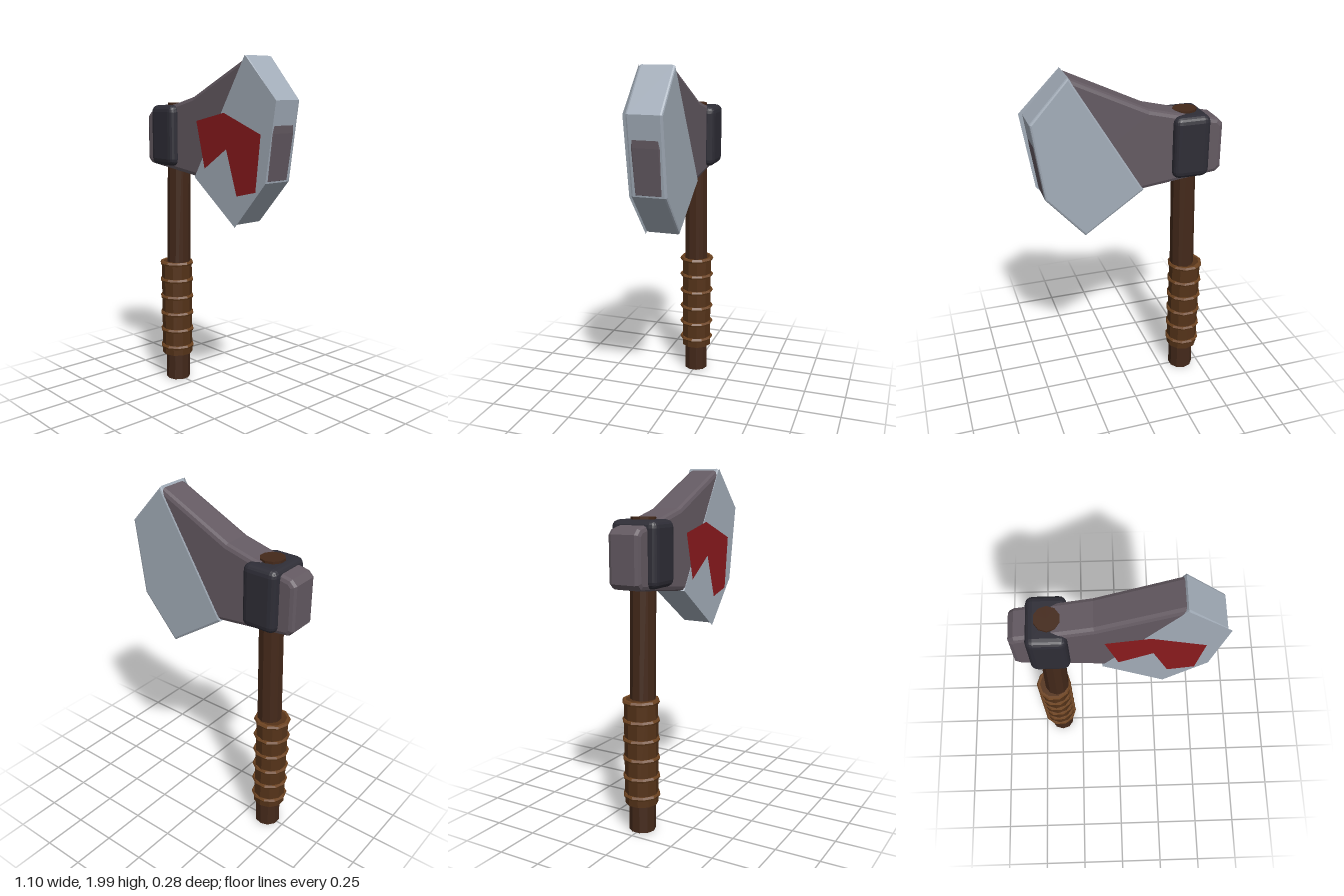
import * as THREE from 'three';
import { RoundedBoxGeometry } from 'three/addons/geometries/RoundedBoxGeometry.js';

const mat = (color, side = THREE.FrontSide) =>
  new THREE.MeshStandardMaterial({ color, flatShading: true, side });

const outline = (points) => new THREE.Shape(points.map(([x, y]) => new THREE.Vector2(x, y)));

// Bevelled slab whose outer contour follows the points, centred on z = 0
function slab(points, halfDepth, bevel, segments) {
  const geometry = new THREE.ExtrudeGeometry(outline(points), {
    depth: 2 * (halfDepth - bevel), bevelEnabled: true, bevelThickness: bevel,
    bevelSize: bevel, bevelOffset: -bevel, bevelSegments: segments,
  });
  return geometry.translate(0, 0, -(halfDepth - bevel));
}

export function createModel() {
  const group = new THREE.Group();
  const add = (name, geometry, material, x = 0, y = 0, z = 0) => {
    const mesh = new THREE.Mesh(geometry, material);
    mesh.name = name;
    mesh.position.set(x, y, z);
    group.add(mesh);
    return mesh;
  };

  const wood = mat(0x44291a);
  const leather = mat(0x553319);
  const cord = mat(0x6e4421);
  const iron = mat(0x645a62);
  const darkIron = mat(0x2e2d36);
  const steel = mat(0xa3adb9, THREE.DoubleSide);
  const paint = mat(0x8a1a1d, THREE.DoubleSide);

  // Slightly leaning handle
  const handle = add('handle', new THREE.CylinderGeometry(0.068, 0.075, 1.74, 10), wood, -0.37, 0.877, 0);
  handle.rotation.z = -0.023;

  // Leather grip with cord rings
  add('grip', new THREE.CylinderGeometry(0.094, 0.094, 0.6, 10), leather, -0.393, 0.47, 0);
  for (let i = 0; i < 6; i++) {
    const ring = new THREE.TorusGeometry(0.092, 0.014, 6, 10).rotateX(Math.PI / 2);
    add('gripRing', ring, cord, -0.393, 0.22 + i * 0.108, 0);
  }

  // Iron head, running through to the cutting edge
  add('axeHead', slab([
    [-0.55, 1.41], [-0.52, 1.38], [-0.09, 1.33], [0.25, 1.11], [0.469, 1.35],
    [0.508, 1.6], [0.52, 1.76], [0.31, 1.99], [-0.12, 1.785], [-0.28, 1.745],
    [-0.52, 1.695], [-0.55, 1.665],
  ], 0.095, 0.025, 2), iron);

  // Collar around the handle
  add('collar', new RoundedBoxGeometry(0.21, 0.355, 0.28, 2, 0.04), darkIron, -0.357, 1.557, 0);

  // Steel blade with a thin front plate
  add('blade', slab([
    [-0.09, 1.33], [0.25, 1.095], [0.467, 1.34], [0.53, 1.77], [0.32, 2.0],
  ], 0.099, 0.012, 2), steel);
  add('bladePlate', new THREE.ShapeGeometry(outline([
    [-0.09, 1.33], [0.25, 1.08], [0.48, 1.34], [0.55, 1.77], [0.32, 2.0],
  ])), steel, 0, 0, 0.101);

  // Red painted marking on the front only
  add('paintedChevron', new THREE.ShapeGeometry(outline([
    [-0.07, 1.65], [0.0, 1.385], [0.18, 1.505], [0.265, 1.255],
    [0.41, 1.29], [0.445, 1.595], [0.16, 1.7],
  ])), paint, 0, 0, 0.103);

  return group;
}
